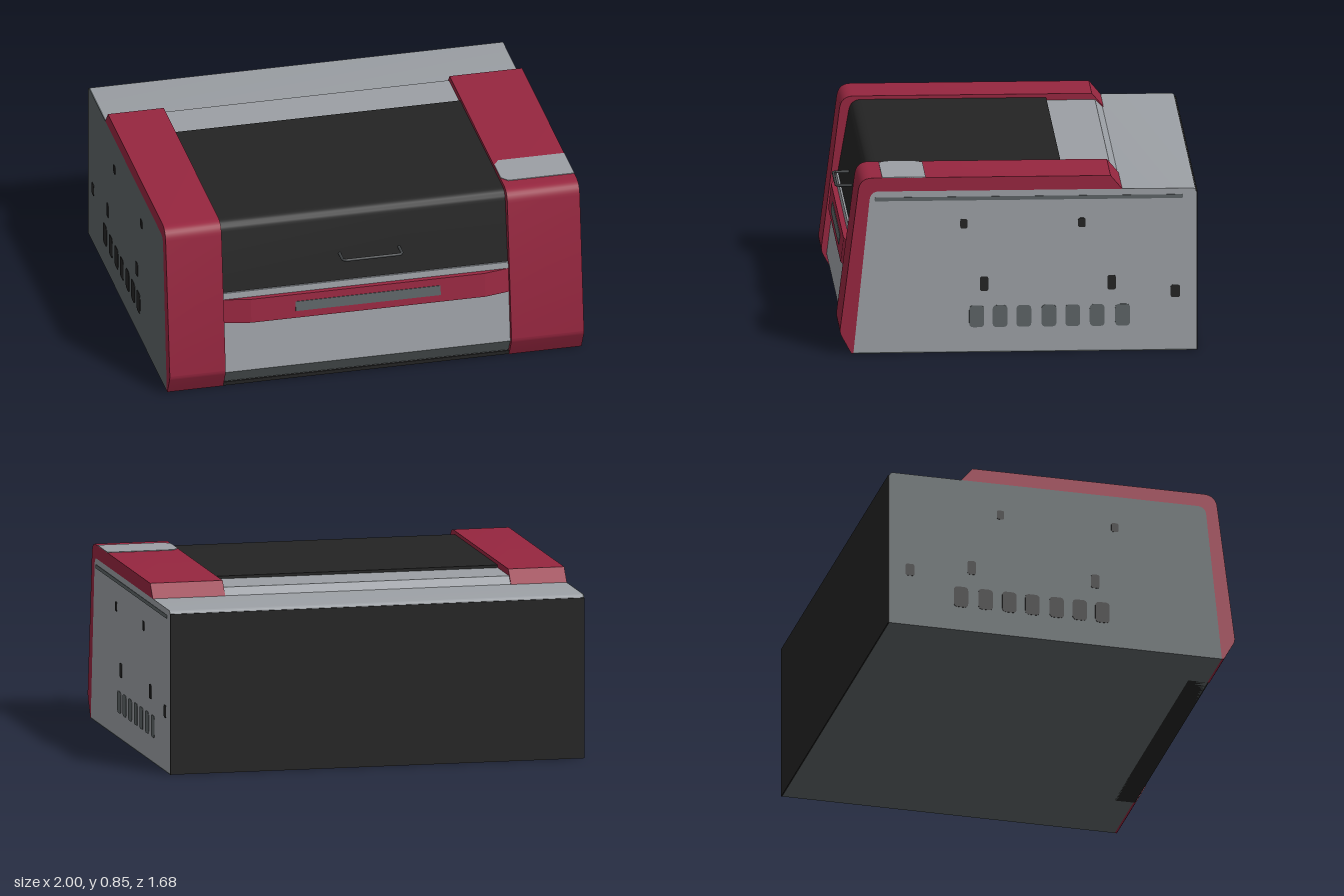
import * as THREE from 'three';
import { toCreasedNormals } from 'three/addons/utils/BufferGeometryUtils.js';

const material = (name, color) => {
  const m = new THREE.MeshStandardMaterial({ color });
  m.name = name;
  return m;
};

// Closed outline from [a, b, cornerRadius] points; corners with a radius are rounded.
function outline(points) {
  const shape = new THREE.Shape();
  const n = points.length;
  points.forEach(([a, b, r = 0], i) => {
    const here = new THREE.Vector2(a, b);
    const towards = (p) => new THREE.Vector2(p[0], p[1]).sub(here).normalize().multiplyScalar(r).add(here);
    const start = towards(points[(i + n - 1) % n]);
    const end = towards(points[(i + 1) % n]);
    if (i === 0) shape.moveTo(start.x, start.y);
    else shape.lineTo(start.x, start.y);
    if (r > 0) shape.quadraticCurveTo(a, b, end.x, end.y);
  });
  shape.closePath();
  return shape;
}

// Side profile of [z, y, radius] points, extruded from x0 to x1.
function extrudeX(points, x0, x1) {
  const shape = outline(points.map(([z, y, r]) => [-z, y, r]));
  const g = new THREE.ExtrudeGeometry(shape, { depth: x1 - x0, bevelEnabled: false, curveSegments: 8 });
  g.rotateY(Math.PI / 2).translate(x0, 0, 0);
  return toCreasedNormals(g, 0.5);
}

// Plan of [x, z] points, extruded from y0 to y1.
function extrudeY(points, y0, y1) {
  const shape = outline(points.map(([x, z, r]) => [x, -z, r]));
  const g = new THREE.ExtrudeGeometry(shape, { depth: y1 - y0, bevelEnabled: false, curveSegments: 5 });
  return g.rotateX(-Math.PI / 2).translate(0, y0, 0);
}

export function createModel() {
  const model = new THREE.Group();
  const grey = material('lightGrey', 0x9b9fa4);
  const red = material('crimson', 0x96263f);
  const black = material('black', 0x232323);
  const slate = material('slateGrey', 0x5c6365);
  const steel = material('darkSteel', 0x404345);

  const add = (name, geometry, mat, parent = model) => {
    const mesh = new THREE.Mesh(geometry, mat);
    mesh.name = name;
    parent.add(mesh);
    return mesh;
  };

  const innerLeft = -0.73, innerRight = 0.65;

  // Main casing with its side, back and bottom panels
  const bodyProfile = [[0.78, 0.006], [0.70, 0.78, 0.04], [-0.834, 0.78, 0.02], [-0.834, 0.006]];
  add('casing', extrudeX(bodyProfile, -0.994, 0.994), grey);
  add('rightSidePanel', extrudeX(bodyProfile, -1, -0.994), slate);
  add('leftSidePanel', extrudeX(bodyProfile, 0.994, 1), grey);
  add('backPanel', new THREE.BoxGeometry(2, 0.765, 0.006).translate(0, 0.3825, -0.837), black);
  add('bottomPanel', new THREE.BoxGeometry(2, 0.006, 1.614).translate(0, 0.003, -0.027), slate);

  // Red bands wrapping over the top and down the front
  const bandProfile = [
    [0.79, 0], [0.845, 0.1, 0.02], [0.75, 0.845, 0.06], [-0.43, 0.845],
    [-0.485, 0.78], [0.70, 0.78, 0.04], [0.78, 0],
  ];
  add('rightBand', extrudeX(bandProfile, -1, innerLeft), red);
  add('leftBand', extrudeX(bandProfile, innerRight, 1), red);
  add('controlPatch', extrudeY([
    [0.652, 0.48], [0.68, 0.44], [1, 0.44], [1, 0.645], [0.68, 0.645], [0.652, 0.61],
  ], 0.844, 0.848), grey);

  // Hinged lid, the shelf behind it and its handle
  add('lid', extrudeX([
    [-0.215, 0.77], [-0.215, 0.828], [0.705, 0.828, 0.05], [0.765, 0.483], [0.68, 0.483],
  ], innerLeft, innerRight), black);
  add('rearShelf', extrudeX([
    [-0.215, 0.77], [-0.215, 0.815], [-0.445, 0.815], [-0.48, 0.78], [-0.48, 0.77],
  ], innerLeft, innerRight), grey);
  const handlePath = new THREE.CurvePath();
  const handlePoints = [[-0.157, 0.73], [-0.157, 0.805], [-0.145, 0.817], [0.118, 0.817], [0.13, 0.805], [0.13, 0.73]]
    .map(([x, z]) => new THREE.Vector3(x, 0.612, z));
  for (let i = 1; i < handlePoints.length; i++) {
    handlePath.add(new THREE.LineCurve3(handlePoints[i - 1], handlePoints[i]));
  }
  add('lidHandle', new THREE.TubeGeometry(handlePath, 60, 0.007, 8), steel);

  // Front panels between the bands
  add('frontLip', extrudeX([
    [0.68, 0.45], [0.778, 0.45], [0.774, 0.483], [0.68, 0.483],
  ], innerLeft, innerRight), grey);
  const strip = extrudeY([
    [innerLeft, 0.70], [innerLeft, 0.785], [-0.6, 0.81], [0.53, 0.81], [innerRight, 0.785], [innerRight, 0.70],
  ], 0.335, 0.452);
  // Lean the strip back with the sloping front
  const pos = strip.attributes.position;
  for (let i = 0; i < pos.count; i++) pos.setZ(i, pos.getZ(i) - (pos.getY(i) - 0.393) * 0.12);
  strip.computeVertexNormals();
  add('frontStrip', strip, red);
  const display = add('displayWindow', new THREE.BoxGeometry(0.70, 0.048, 0.008), slate);
  display.position.set(-0.035, 0.393, 0.809);
  display.rotation.x = -0.12;
  add('lowerFrontPanel', extrudeX([
    [0.68, 0.085], [0.818, 0.085], [0.787, 0.335], [0.68, 0.335],
  ], innerLeft, innerRight), grey);
  add('frontSkirt', extrudeX([
    [0.68, 0.018], [0.778, 0.018], [0.818, 0.085], [0.68, 0.085],
  ], innerLeft, innerRight), slate);
  add('frontFoot', new THREE.BoxGeometry(1.38, 0.018, 0.1).translate(-0.04, 0.009, 0.737), black);

  // Vents, sockets and a seam on both sides: [z, y, width, height]
  const vents = [0.2, 0.09, -0.022, -0.14, -0.252, -0.367, -0.487].map((z) => [z, 0.173, 0.07, 0.105]);
  const sockets = [
    [0.26, 0.62, 0.035, 0.045], [-0.295, 0.62, 0.035, 0.045], [0.165, 0.33, 0.04, 0.07],
    [-0.435, 0.33, 0.04, 0.07], [-0.735, 0.285, 0.045, 0.06],
  ];
  const seam = [[-0.045, 0.742, 1.45, 0.018]];
  for (const side of [1, -1]) {
    const group = new THREE.Group();
    group.name = side > 0 ? 'leftSideOpenings' : 'rightSideOpenings';
    const plates = (name, list, mat) => list.forEach(([z, y, w, h]) => {
      const r = Math.min(w, h) * 0.3, a = w / 2, b = h / 2;
      const corners = [[z - a, y - b, r], [z + a, y - b, r], [z + a, y + b, r], [z - a, y + b, r]];
      add(name, extrudeX(corners, side * 1 - 0.002, side * 1 + 0.002), mat, group);
    });
    plates('vent', vents, side > 0 ? slate : black);
    plates('socket', sockets, black);
    if (side > 0) plates('seam', seam, slate);
    model.add(group);
  }
  return model;
}
